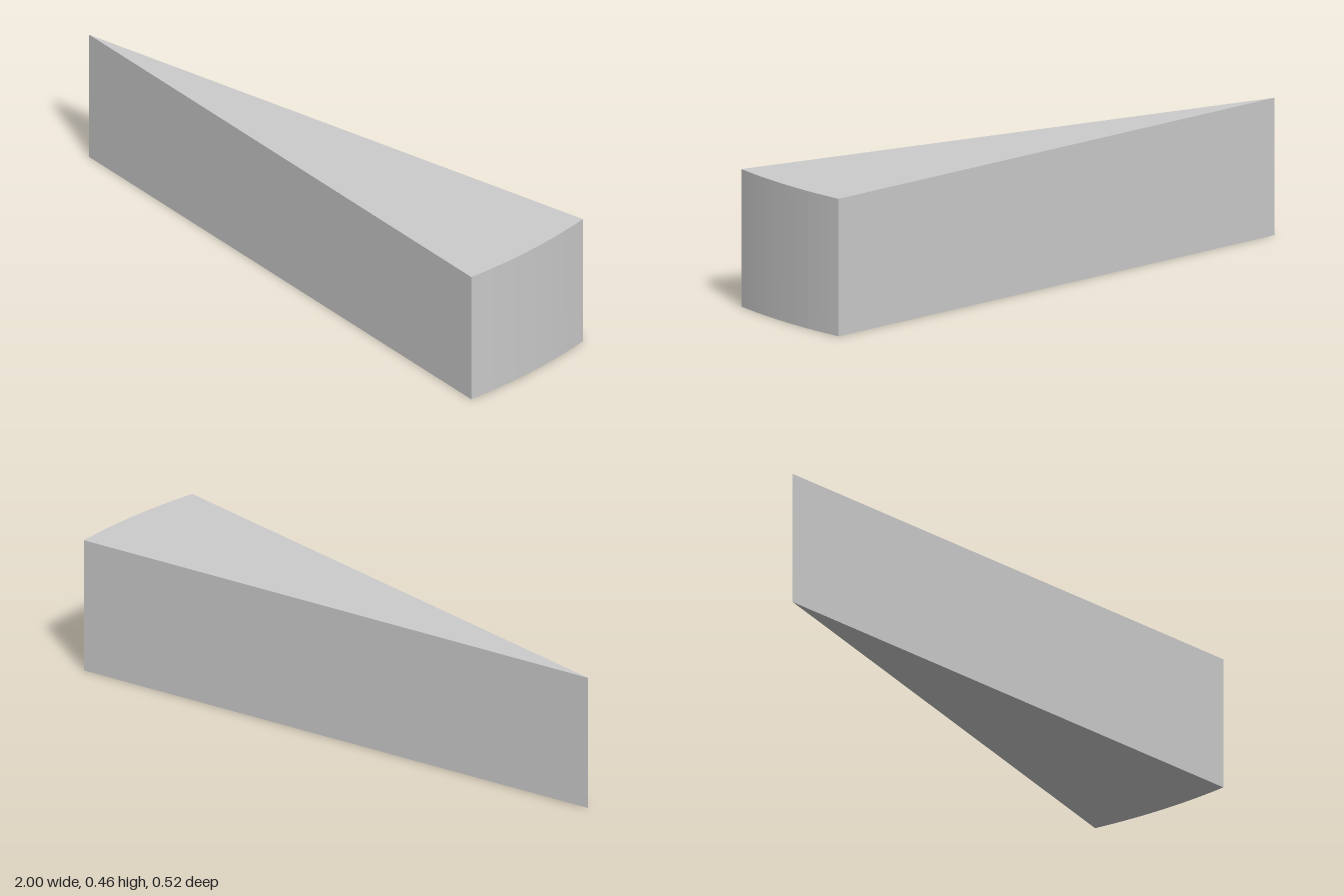
import * as THREE from 'three';
import { toCreasedNormals } from 'three/addons/utils/BufferGeometryUtils.js';

const RADIUS = 2;
const ANGLE = Math.PI / 12; // 15 degree sector
const HEIGHT = 0.46;

export function createModel() {
  const group = new THREE.Group();
  group.name = 'wedge';

  // Plan of the slice: pointed tip at the origin, rounded outer end
  const plan = new THREE.Shape();
  plan.moveTo(0, 0);
  plan.lineTo(RADIUS, 0);
  plan.absarc(0, 0, RADIUS, 0, ANGLE, false);
  plan.closePath();

  // Extrude, lay flat (plan y becomes z) and centre on the ground
  const slab = new THREE.ExtrudeGeometry(plan, {
    depth: HEIGHT, bevelEnabled: false, curveSegments: 24,
  });
  slab.rotateX(Math.PI / 2);
  slab.translate(-RADIUS / 2, HEIGHT, -RADIUS * Math.sin(ANGLE) / 2);

  const sector = new THREE.Mesh(
    toCreasedNormals(slab, 0.5),
    new THREE.MeshStandardMaterial({ color: 0xcccccc }),
  );
  sector.name = 'wedgeSector';
  group.add(sector);
  return group;
}
